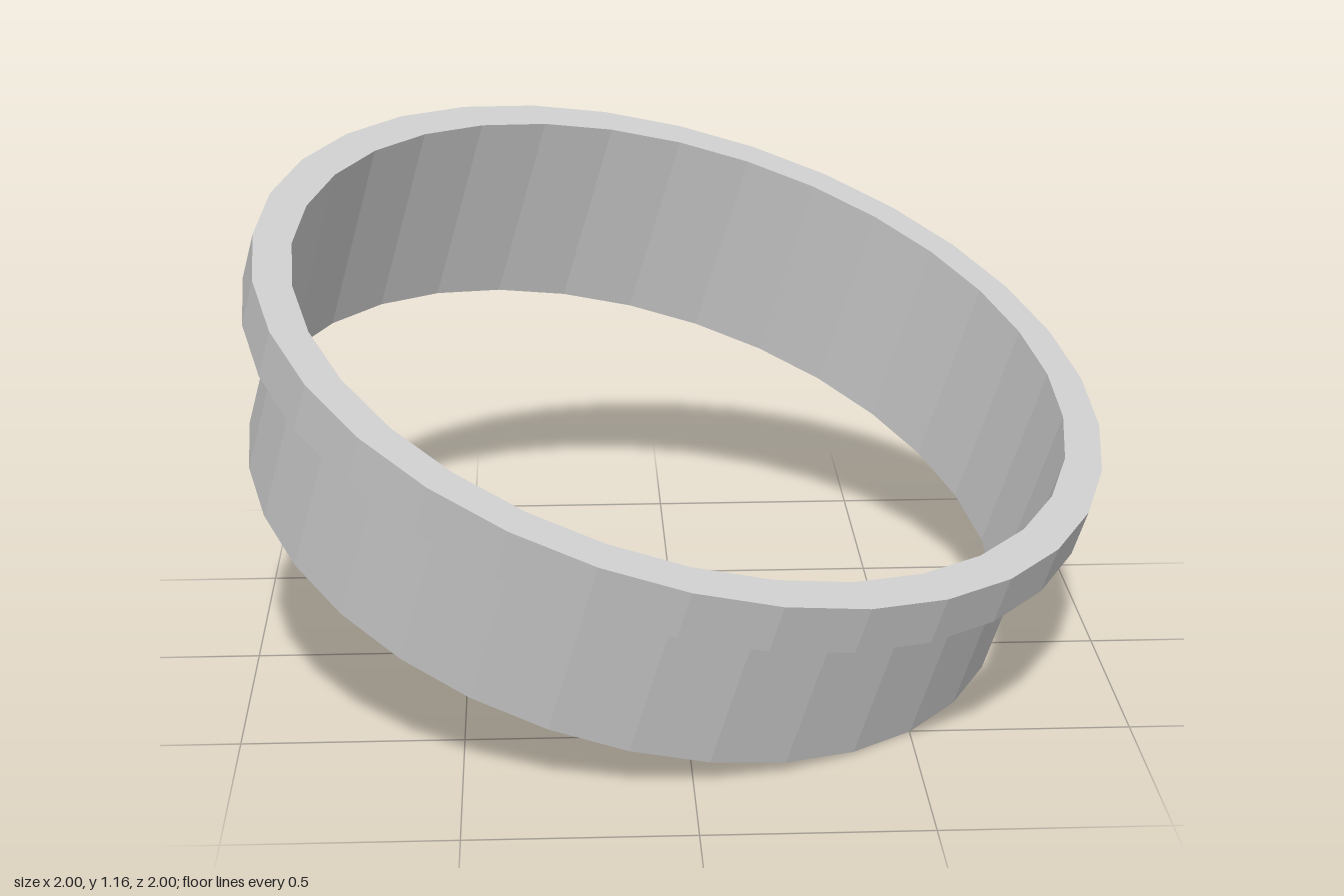
import * as THREE from 'three';

const SIDES = 32;
const WALL_R = 0.925, RIM_R = 1.015;
const HEIGHT = 0.505, RIM_BOTTOM = 0.387;

// Faceted ring turned from a [radius, height] profile
function ring(name, profile) {
  const points = profile.map(([r, y]) => new THREE.Vector2(r, y));
  const material = new THREE.MeshStandardMaterial({
    color: 0xcccccc, flatShading: true, side: THREE.DoubleSide,
  });
  const mesh = new THREE.Mesh(new THREE.LatheGeometry(points, SIDES), material);
  mesh.name = name;
  return mesh;
}

export function createModel() {
  const model = new THREE.Group();
  model.name = 'flangedRing';

  const tilted = new THREE.Group();
  tilted.name = 'tiltedRing';

  // Thin open sleeve
  tilted.add(ring('sleeve', [[WALL_R, 0], [WALL_R, HEIGHT]]));

  // Flange around the upper end: underside, outer band and top face
  tilted.add(ring('flange', [
    [WALL_R, RIM_BOTTOM], [RIM_R, RIM_BOTTOM], [RIM_R, HEIGHT], [WALL_R, HEIGHT],
  ]));

  // Lean the axis equally toward +x and +z, resting on the lowest edge
  const axis = new THREE.Vector3(0.251, 0.935, 0.251).normalize();
  tilted.quaternion.setFromUnitVectors(new THREE.Vector3(0, 1, 0), axis);
  tilted.position.set(-0.11, WALL_R * Math.sqrt(1 - axis.y * axis.y), -0.11);

  model.add(tilted);
  return model;
}
